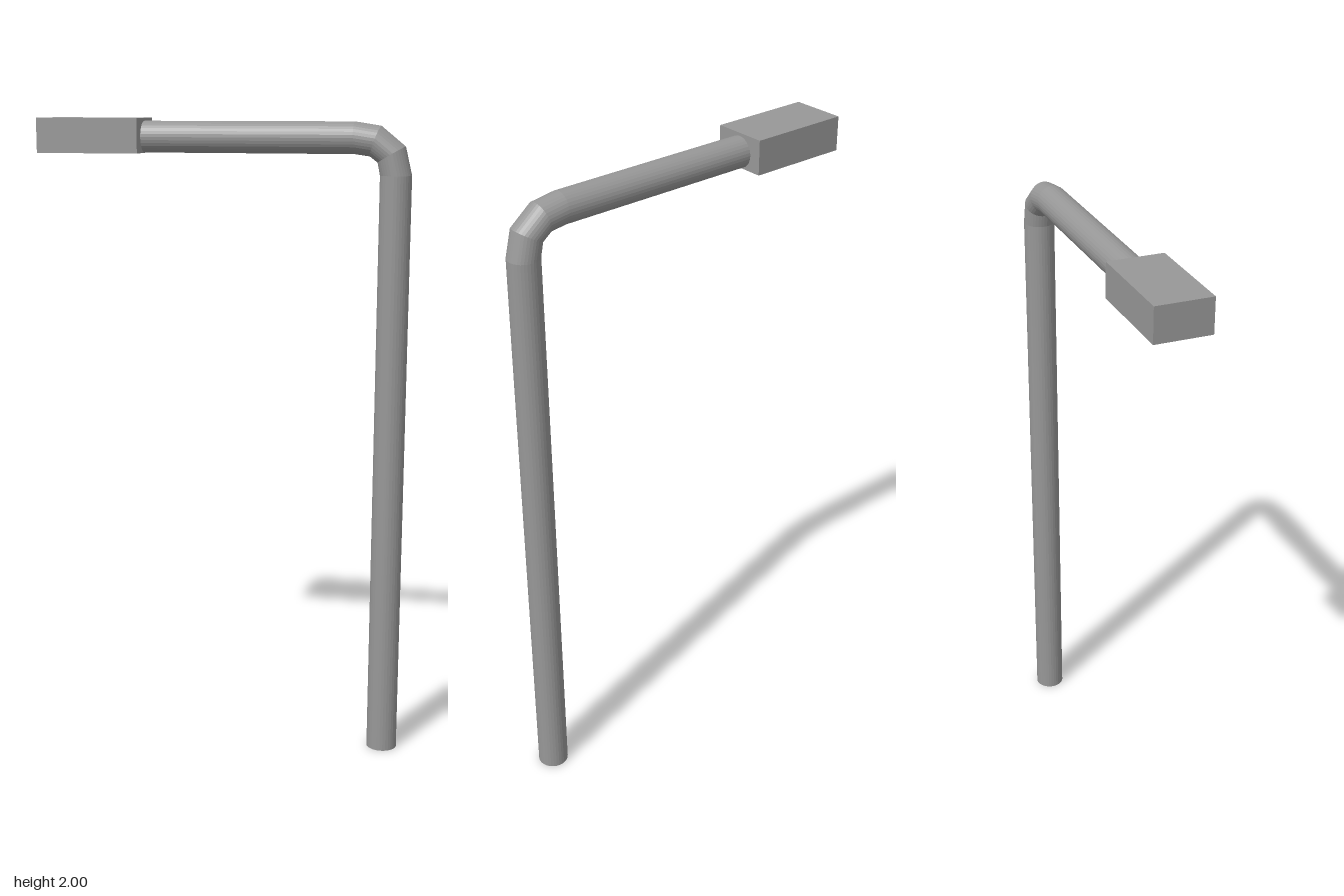
import * as THREE from 'three';

export function createModel() {
  const model = new THREE.Group();
  const grey = new THREE.MeshStandardMaterial({ color: 0x979797, flatShading: true });
  const yellow = new THREE.MeshStandardMaterial({ color: 0xdcc430 });

  const add = (name, geometry, material = grey) => {
    const mesh = new THREE.Mesh(geometry, material);
    mesh.name = name;
    model.add(mesh);
    return mesh;
  };

  const r = 0.048, sides = 32;          // pipe
  const poleX = 0.526, armY = 1.943;    // pipe centre lines
  const bendX = 0.4, bendY = 1.833;     // where arm and pole meet the elbow

  // Upright pole
  add('pole', new THREE.CylinderGeometry(r, r, bendY, sides)).position.set(poleX, bendY / 2, 0);

  // Elbow in three straight steps
  const elbowPath = new THREE.QuadraticBezierCurve3(
    new THREE.Vector3(bendX, armY, 0),
    new THREE.Vector3(poleX, armY, 0),
    new THREE.Vector3(poleX, bendY, 0),
  );
  add('elbow', new THREE.TubeGeometry(elbowPath, 3, r, sides));

  // Horizontal arm, ending just inside the lamp head
  const armEnd = -0.27;
  const arm = add('arm', new THREE.CylinderGeometry(r, r, bendX - armEnd, sides));
  arm.rotation.z = Math.PI / 2;
  arm.position.set((bendX + armEnd) / 2, armY, 0);

  // Lamp head: a closed top over a rim that frames the recess
  const headX = -0.415, w = 0.322, d = 0.172, bottom = 1.894, top = 2, recess = 0.03, rim = 0.034;
  const lidHeight = top - bottom - recess;
  add('lampHousing', new THREE.BoxGeometry(w, lidHeight, d)).position.set(headX, top - lidHeight / 2, 0);

  const rectangle = (Type, x, z) => new Type([
    new THREE.Vector2(-x, -z), new THREE.Vector2(x, -z),
    new THREE.Vector2(x, z), new THREE.Vector2(-x, z),
  ]);
  const frame = rectangle(THREE.Shape, w / 2, d / 2);
  frame.holes.push(rectangle(THREE.Path, w / 2 - rim, d / 2 - rim));
  const rimMesh = add('lampRim', new THREE.ExtrudeGeometry(frame, { depth: recess, bevelEnabled: false }));
  rimMesh.rotation.x = -Math.PI / 2;
  rimMesh.position.set(headX, bottom, 0);

  // Light panel at the back of the recess
  const panel = add('lightPanel', new THREE.BoxGeometry(w - 2 * rim, 0.004, d - 2 * rim), yellow);
  panel.position.set(headX, bottom + recess - 0.001, 0);

  return model;
}
